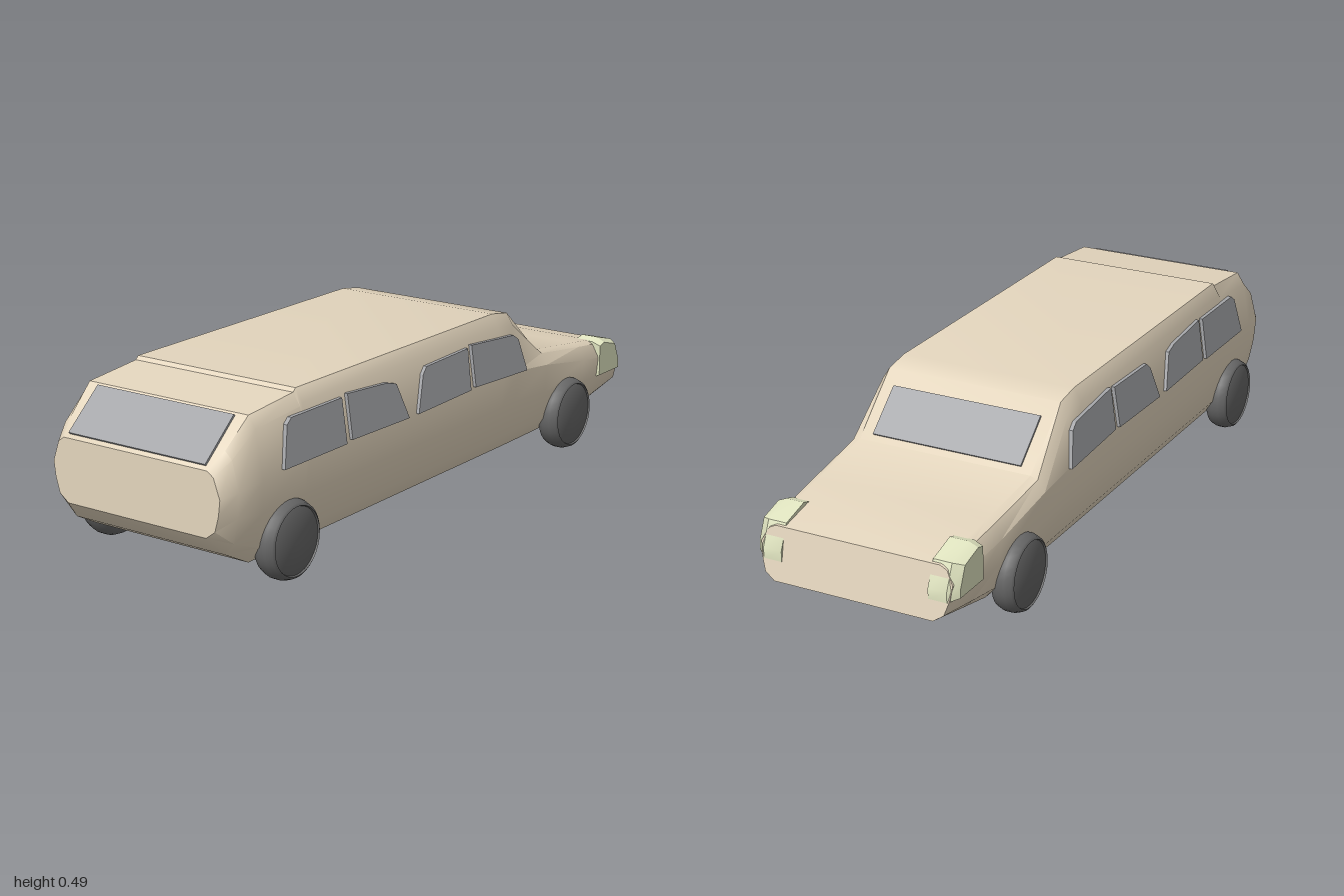
import * as THREE from 'three';
import { toCreasedNormals } from 'three/addons/utils/BufferGeometryUtils.js';

const paint = new THREE.MeshStandardMaterial({ color: 0xe3d5bd });
const glass = new THREE.MeshStandardMaterial({ color: 0xa4a5a8 });
const lampGlass = new THREE.MeshStandardMaterial({ color: 0xdfe3bf });
const rubber = new THREE.MeshStandardMaterial({ color: 0x666666 });

// Skin a list of equal-length rings and close both ends
function loft(rings, crease) {
  const n = rings[0].length, last = (rings.length - 1) * n, index = [];
  for (let i = 0; i < rings.length - 1; i++) {
    for (let j = 0; j < n; j++) {
      const a = i * n + j, d = i * n + (j + 1) % n;
      index.push(a, a + n, d + n, a, d + n, d);
    }
  }
  for (let k = 1; k < n - 1; k++) {
    index.push(0, k, k + 1, last, last + k + 1, last + k);
  }
  const geo = new THREE.BufferGeometry();
  geo.setAttribute('position', new THREE.Float32BufferAttribute(rings.flat(2), 3));
  geo.setIndex(index);
  return toCreasedNormals(geo, crease);
}

// Body cross-section, up the +z side and down the -z side
function bodyRing([x, xTop, bottom, belt, top, scale]) {
  const half = [
    [0.26, bottom],
    [0.292, bottom + 0.2 * (belt - bottom)],
    [0.306, bottom + 0.6 * (belt - bottom)],
    [0.312, belt],
    [0.29, belt + 0.8 * (top - belt)],
    [0.268, top],
  ].map(([z, y]) => [x + (xTop - x) * (y - bottom) / (top - bottom), y, z * scale]);
  return [...half, ...half.map(([px, y, z]) => [px, y, -z]).reverse()];
}

export function createModel() {
  const car = new THREE.Group();
  car.name = 'limousine';
  const add = (name, geo, mat) => {
    const mesh = new THREE.Mesh(geo, mat);
    mesh.name = name;
    car.add(mesh);
    return mesh;
  };

  // Body stations from tail to nose: x, x at top, bottom, belt, top, width scale
  const stations = [
    [-1, -1, 0.17, 0.28, 0.35, 0.9],
    [-0.95, -0.95, 0.115, 0.29, 0.393, 0.97],
    [-0.865, -0.865, 0.07, 0.3, 0.467, 1],
    [-0.68, -0.68, 0.07, 0.31, 0.483, 1],
    [-0.67, -0.67, 0.07, 0.31, 0.493, 1],
    [0.27, 0.27, 0.07, 0.31, 0.493, 1],
    [0.35, 0.35, 0.07, 0.31, 0.48, 1],
    [0.52, 0.52, 0.07, 0.29, 0.33, 0.99],
    [0.75, 0.75, 0.07, 0.25, 0.3, 0.97],
    [0.86, 0.86, 0.09, 0.235, 0.285, 0.95],
    [1, 0.97, 0.115, 0.215, 0.262, 0.92],
  ];
  add('body', loft(stations.map(bodyRing), 0.6), paint);

  // Sloped windscreen and rear window
  const slopedPane = (name, x0, y0, x1, y1) => {
    const pane = add(name, new THREE.BoxGeometry(Math.hypot(x1 - x0, y1 - y0), 0.012, 0.46), glass);
    pane.position.set((x0 + x1) / 2, (y0 + y1) / 2, 0);
    pane.rotation.z = Math.atan2(y1 - y0, x1 - x0);
  };
  slopedPane('windscreen', 0.39, 0.445, 0.505, 0.343);
  slopedPane('rearWindow', -0.99, 0.359, -0.872, 0.461);

  // Side window outlines
  const outlines = [
    [[-0.785, 0.31], [-0.515, 0.31], [-0.515, 0.435], [-0.735, 0.435], [-0.755, 0.42]],
    [[-0.49, 0.315], [-0.225, 0.31], [-0.268, 0.415], [-0.31, 0.427], [-0.49, 0.44]],
    [[-0.18, 0.31], [0.085, 0.315], [0.09, 0.435], [-0.12, 0.43], [-0.14, 0.412]],
    [[0.11, 0.318], [0.385, 0.306], [0.355, 0.405], [0.33, 0.422], [0.11, 0.44]],
  ];
  // Headlamp side profile
  const lamp = [[0.845, 0.17], [0.845, 0.285], [0.875, 0.294], [0.96, 0.27], [0.99, 0.2], [0.99, 0.17]];
  // Rounded wheel profile: radius, height along the axle
  const tyre = [[0, -0.036], [0.09, -0.036], [0.102, -0.028], [0.109, -0.01],
    [0.109, 0.012], [0.102, 0.031], [0.095, 0.036], [0.093, 0.031], [0, 0.031]];

  for (const side of [1, -1]) {
    const label = side > 0 ? 'left' : 'right';

    outlines.forEach((points, i) => {
      const shape = new THREE.Shape(points.map(p => new THREE.Vector2(...p)));
      const geo = new THREE.ExtrudeGeometry(shape, { depth: 0.02, bevelEnabled: false });
      const pos = geo.attributes.position;
      // Lean each pane inward toward the roof
      for (let v = 0; v < pos.count; v++) {
        const offset = 0.302 - 0.14 * (pos.getY(v) - 0.305);
        pos.setZ(v, side > 0 ? pos.getZ(v) + offset : pos.getZ(v) - 0.02 - offset);
      }
      geo.computeVertexNormals();
      add(`${label}SideWindow${i + 1}`, geo, glass);
    });

    // Headlamps wrap the front corners and taper outward
    const rings = [[0.22, 1], [0.275, 1], [0.302, 0.82]].map(([z, s]) =>
      lamp.map(([x, y]) => [0.86 + (x - 0.86) * s, 0.225 + (y - 0.225) * s, side * z]));
    add(`${label}Headlamp`, loft(side > 0 ? rings : rings.reverse(), 0.5), lampGlass);

    for (const [end, x] of [['Front', 0.645], ['Rear', -0.75]]) {
      const points = tyre.map(p => new THREE.Vector2(...p));
      const geo = toCreasedNormals(new THREE.LatheGeometry(points, 32), 0.7);
      const wheel = add(`${label}${end}Wheel`, geo, rubber);
      wheel.position.set(x, 0.109, side * 0.297);
      wheel.rotation.x = side * Math.PI / 2;
    }
  }
  return car;
}
